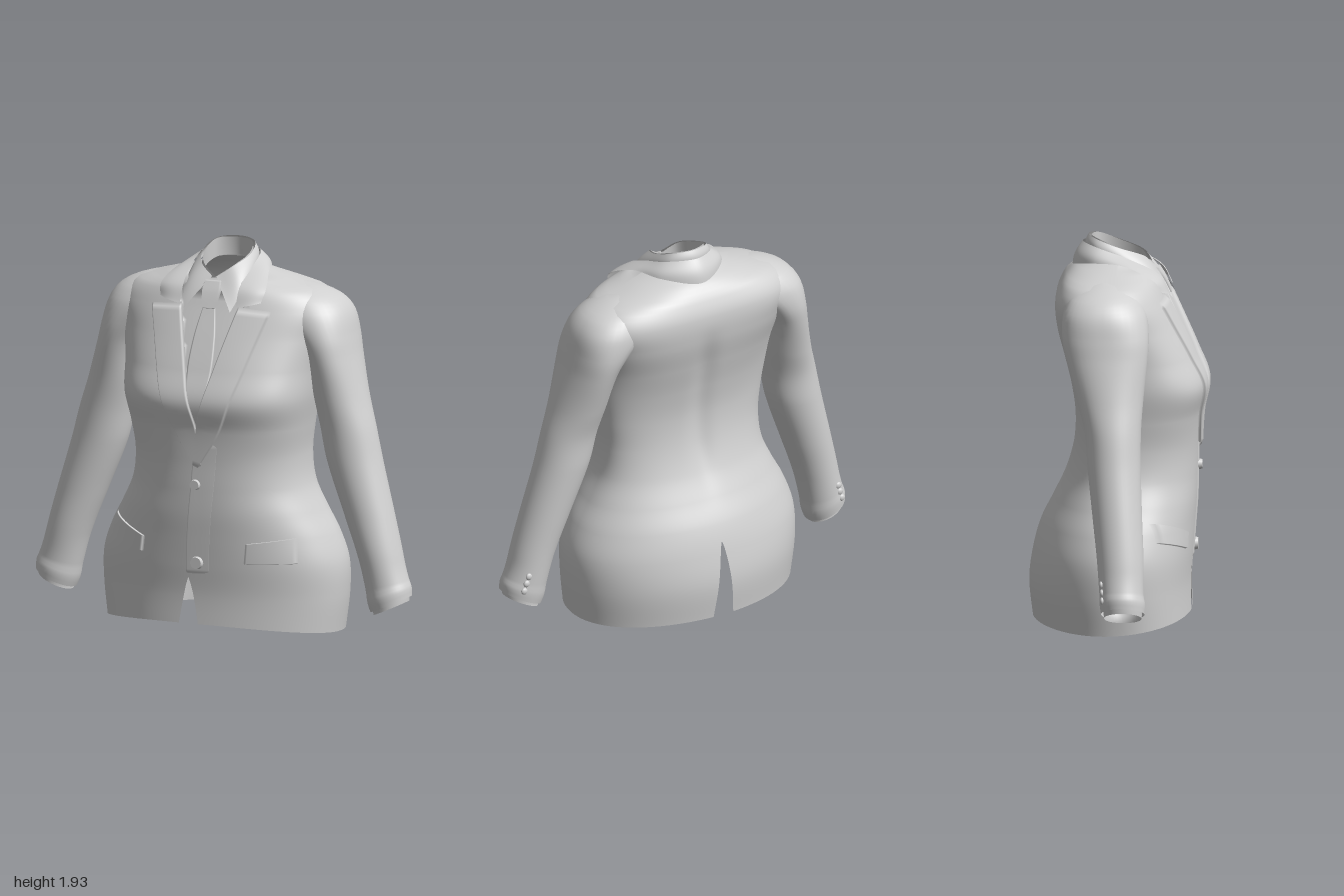
import * as THREE from 'three';
import { ParametricGeometry } from 'three/addons/geometries/ParametricGeometry.js';

const { lerp, smoothstep } = THREE.MathUtils;
const V = (x, y, z = 0) => new THREE.Vector3(x, y, z);

// Cross-sections: y, centre x, half width, centre z, front z, back z, front and back squareness
const TORSO = [
  [0.00, 0, 0.612, 0, 0.370, -0.425, 2.3, 2.0],
  [0.20, 0, 0.635, 0, 0.362, -0.445, 2.3, 2.0],
  [0.36, 0, 0.632, 0, 0.372, -0.425, 2.3, 2.0],
  [0.50, 0, 0.585, 0, 0.382, -0.385, 2.3, 2.0],
  [0.62, 0, 0.520, 0, 0.390, -0.325, 2.4, 2.1],
  [0.75, 0, 0.462, 0, 0.393, -0.265, 2.4, 2.2],
  [0.90, 0, 0.445, 0, 0.395, -0.225, 2.5, 2.3],
  [1.05, 0, 0.460, 0, 0.405, -0.215, 2.8, 2.4],
  [1.20, 0, 0.485, 0, 0.430, -0.235, 3.0, 2.4],
  [1.35, 0, 0.500, -0.01, 0.375, -0.270, 2.8, 2.6],
  [1.50, 0, 0.530, -0.02, 0.310, -0.305, 2.5, 3.0],
  [1.63, 0, 0.550, -0.04, 0.250, -0.312, 2.4, 3.2],
  [1.72, 0, 0.490, -0.05, 0.210, -0.280, 2.3, 2.8],
  [1.77, 0, 0.335, -0.04, 0.180, -0.240, 2.2, 2.3],
  [1.80, 0, 0.230, -0.03, 0.160, -0.200, 2.0, 2.0],
  [1.83, 0, 0.135, -0.02, 0.135, -0.160, 2.0, 2.0],
];
const SLEEVE = [
  [0.17, 0.900, 0.102, 0.045, 0.155, -0.060, 2, 2],
  [0.22, 0.888, 0.110, 0.042, 0.158, -0.068, 2, 2],
  [0.27, 0.875, 0.108, 0.040, 0.150, -0.070, 2, 2],
  [0.45, 0.825, 0.117, 0.030, 0.148, -0.085, 2, 2],
  [0.62, 0.770, 0.128, 0.020, 0.140, -0.105, 2, 2],
  [0.88, 0.685, 0.142, 0.000, 0.130, -0.135, 2, 2],
  [1.05, 0.645, 0.140, -0.01, 0.130, -0.150, 2, 2],
  [1.20, 0.605, 0.135, -0.02, 0.140, -0.190, 2, 2],
  [1.40, 0.560, 0.127, -0.04, 0.160, -0.245, 2.1, 2.1],
  [1.50, 0.520, 0.145, -0.05, 0.165, -0.265, 2.2, 2.3],
  [1.60, 0.455, 0.185, -0.06, 0.155, -0.265, 2.2, 2.5],
  [1.66, 0.420, 0.185, -0.06, 0.130, -0.245, 2.1, 2.4],
  [1.70, 0.390, 0.165, -0.06, 0.100, -0.215, 2, 2.2],
  [1.74, 0.360, 0.095, -0.06, 0.040, -0.150, 2, 2],
  [1.765, 0.33, 0.010, -0.06, -0.05, -0.070, 2, 2],
];

// Smooth (Hermite) interpolation of the cross-section rows at height y
function sample(rows, y) {
  let i = 0;
  while (i < rows.length - 2 && rows[i + 1][0] < y) i++;
  const b = rows[i], c = rows[i + 1], a = rows[i - 1] || b, d = rows[i + 2] || c;
  const h = c[0] - b[0], s = THREE.MathUtils.clamp((y - b[0]) / h, 0, 1);
  return b.map((_, k) => {
    const m0 = (c[k] - a[k]) / (c[0] - a[0]) * h, m1 = (d[k] - b[k]) / (d[0] - b[0]) * h;
    return (2 * s ** 3 - 3 * s * s + 1) * b[k] + (s ** 3 - 2 * s * s + s) * m0
      + (3 * s * s - 2 * s ** 3) * c[k] + (s ** 3 - s * s) * m1;
  });
}

// Point on a rounded section; angle 0 is the front, quarter turn is +x
function section([y, xc, rx, zc, zf, zb, nf, nb], t, out) {
  const s = Math.sin(t), c = Math.cos(t), n = c > 0 ? nf : nb;
  const r = (Math.abs(s) ** n + Math.abs(c) ** n) ** (-1 / n);
  return out.set(xc + rx * r * s, y, zc + (c > 0 ? zf - zc : zc - zb) * r * c);
}

// Point lying on the chest surface, lifted by h
function onFront(x, y, h = 0) {
  const [, , rx, zc, zf, , n] = sample(TORSO, y);
  const k = Math.max(0, 1 - Math.min(1, Math.abs(x) / rx) ** n);
  return V(x, y, zc + (zf - zc) * k ** (1 / n) + h);
}

const seam = (y) => -0.06 * (1 - smoothstep(y, 0.3, 1.15));

export function createModel() {
  const model = new THREE.Group();
  model.name = 'suitJacket';
  const cloth = new THREE.MeshStandardMaterial({ color: 0xd0d0d0, side: THREE.DoubleSide });
  cloth.name = 'paleGreyCloth';
  const add = (name, geometry, parent = model) => {
    const mesh = new THREE.Mesh(geometry, cloth);
    mesh.name = name;
    parent.add(mesh);
    return mesh;
  };
  const sheet = (fn, nu, nv) => new ParametricGeometry(fn, nu, nv);

  // Body panels, open at the hem with a front cutaway and a back vent
  const panel = (side) => sheet((u, v, p) => {
    const base = side > 0 ? u * Math.PI : (u - 1) * Math.PI;
    const hem = 0.025 + 0.02 * Math.cos(base) + 0.015 * Math.cos(2 * base);
    const y = lerp(hem, 1.83, v);
    const row = sample(TORSO, y);
    const cut = 0.06 * Math.max(0, 1 - y / 0.29) ** 0.7;
    const vent = 0.06 * Math.max(0, 1 - y / 0.42) ** 0.7;
    const front = Math.asin((seam(y) + side * cut) / row[2]);
    const back = side * (Math.PI - Math.asin(vent / row[2]));
    section(row, side > 0 ? lerp(front, back, u) : lerp(back, front, u), p);
    if (p.z > 0) { // sunken shirt front between the lapels
      const w = Math.min(0.15, 0.245 * (y - 1.08));
      p.z -= 0.035 * smoothstep(w + 0.045 - Math.abs(p.x), 0, 0.025)
        * smoothstep(y, 1.05, 1.15) * (1 - smoothstep(y, 1.68, 1.76));
    } else { // spine hollow
      p.z += 0.02 * Math.exp(-((p.x / 0.06) ** 2)) * smoothstep(y, 0.55, 0.9) * (1 - smoothstep(y, 1.3, 1.6));
    }
    p.y -= 0.45 * Math.max(0, p.z) * smoothstep(y, 1.78, 1.83);
  }, 72, 90);
  add('leftBodyPanel', panel(1));
  add('rightBodyPanel', panel(-1));

  // Sleeves with slanted ends, shirt cuffs and cuff buttons
  const sleevePoint = (y, t, inset, p) => {
    const row = sample(SLEEVE, Math.max(y, 0.17));
    row[0] = y; row[2] -= inset; row[4] -= inset; row[5] += inset;
    section(row, t, p);
    p.y += 0.45 * (p.x - row[1]) * (1 - smoothstep(y, 0.17, 0.4));
    return p;
  };
  for (const side of [1, -1]) {
    const arm = new THREE.Group();
    arm.name = side > 0 ? 'leftArm' : 'rightArm';
    arm.scale.x = side;
    model.add(arm);
    add('sleeve', sheet((u, v, p) => sleevePoint(lerp(0.175, 1.765, v), u * Math.PI * 2, 0, p), 40, 80), arm);
    add('cuff', sheet((u, v, p) => sleevePoint(lerp(0.155, 0.3, v), u * Math.PI * 2, 0.014, p), 40, 4), arm);
    for (let i = 0; i < 3; i++) {
      const button = add('cuffButton', new THREE.SphereGeometry(0.018, 14, 10), arm);
      sleevePoint(0.23 + i * 0.045, Math.PI - 0.5, 0, button.position);
      button.scale.z = 0.6;
    }
  }

  // Raised cloth piece laid on the chest between two edge lines, listed top to bottom
  const drape = (a, b, h, taper = 0) => {
    const [ca, cb] = [a, b].map((l) => new THREE.CatmullRomCurve3(l.map(([x, y]) => V(x, y))));
    return sheet((u, v, p) => {
      const q = ca.getPoint(1 - v).lerp(cb.getPoint(1 - v), u);
      const edge = smoothstep(Math.min(u, 1 - u), 0, 0.07) * smoothstep(Math.min(v, 1 - v), 0, 0.04);
      p.copy(onFront(q.x, q.y, -0.003 + (h * (1 - taper * u) + 0.003) * edge));
    }, 24, 40);
  };

  // Lapels
  const inner = [[0.15, 1.66], [0.1, 1.47], [0.05, 1.27], [0.0, 1.08], [-0.025, 0.86]];
  const outer = [[0.325, 1.645], [0.275, 1.48], [0.215, 1.28], [0.13, 1.06], [0.0, 0.85]];
  add('leftLapel', drape(inner, outer, 0.024));
  add('rightLapel', drape(inner, outer, 0.017)).scale.x = -1;

  // Overlapping front edge
  const ys = [1.0, 0.8, 0.6, 0.45, 0.31];
  add('frontEdge', drape(ys.map((y) => [seam(y) - 0.015, y]), ys.map((y) => [seam(y) + 0.12, y]), 0.008, 1));

  // Pocket flaps
  add('leftPocketFlap', drape([[0.24, 0.485], [0.23, 0.38]], [[0.48, 0.515], [0.49, 0.385]], 0.02));
  add('rightPocketFlap', drape([[-0.52, 0.565], [-0.535, 0.465]], [[-0.3, 0.48], [-0.31, 0.4]], 0.02));

  // Front buttons
  for (const [y, r] of [[0.775, 0.028], [0.375, 0.034]]) {
    const button = add('frontButton', new THREE.CylinderGeometry(r * 0.85, r, 0.02, 20).rotateX(Math.PI / 2));
    button.position.copy(onFront(-0.01, y, 0.012));
  }

  // Tie blade and knot
  add('tieBlade', drape([[-0.03, 1.67], [-0.06, 1.5], [-0.065, 1.32], [-0.012, 1.08]],
    [[0.03, 1.67], [0.06, 1.5], [0.065, 1.32], [0.012, 1.08]], 0.002));
  add('tieKnot', drape([[-0.045, 1.775], [-0.05, 1.73], [-0.032, 1.64]],
    [[0.045, 1.775], [0.05, 1.73], [0.032, 1.64]], 0.025));

  // Collar strips: half edges run from the left front to the nape, then mirror
  const strip = (low, high, bulge) => {
    const [lo, hi] = [low, high].map((half) => new THREE.CatmullRomCurve3(
      [...half, ...half.slice(0, -1).reverse().map((q) => V(-q.x, q.y, q.z))]));
    return sheet((u, v, p) => {
      p.copy(lo.getPoint(u)).lerp(hi.getPoint(u), v);
      const k = bulge * Math.sin(v * Math.PI) / Math.hypot(p.x, p.z);
      p.x += p.x * k;
      p.z += p.z * k;
    }, 72, 10);
  };
  add('jacketCollar', strip(
    [onFront(0.27, 1.685, 0.022), onFront(0.28, 1.74, 0.03), V(0.235, 1.81, 0.03), V(0.18, 1.815, -0.13), V(0, 1.785, -0.23)],
    [onFront(0.15, 1.66, 0.03), onFront(0.15, 1.75, 0.03), V(0.16, 1.835, 0.05), V(0.135, 1.885, -0.1), V(0, 1.9, -0.18)], 0.012));
  add('shirtCollar', strip(
    [onFront(0.125, 1.635, 0.03), V(0.16, 1.74, 0.175), V(0.16, 1.81, 0.03), V(0.12, 1.86, -0.11), V(0, 1.87, -0.165)],
    [V(0.012, 1.79, 0.17), V(0.085, 1.84, 0.125), V(0.128, 1.885, 0), V(0.1, 1.925, -0.11), V(0, 1.935, -0.15)], 0.008));
  add('collarStand', strip(
    [V(0, 1.72, 0.15), V(0.085, 1.75, 0.12), V(0.125, 1.79, 0), V(0.095, 1.83, -0.1), V(0, 1.84, -0.145)],
    [V(0, 1.785, 0.155), V(0.078, 1.84, 0.115), V(0.118, 1.885, 0), V(0.092, 1.925, -0.1), V(0, 1.93, -0.135)], 0));

  return model;
}
